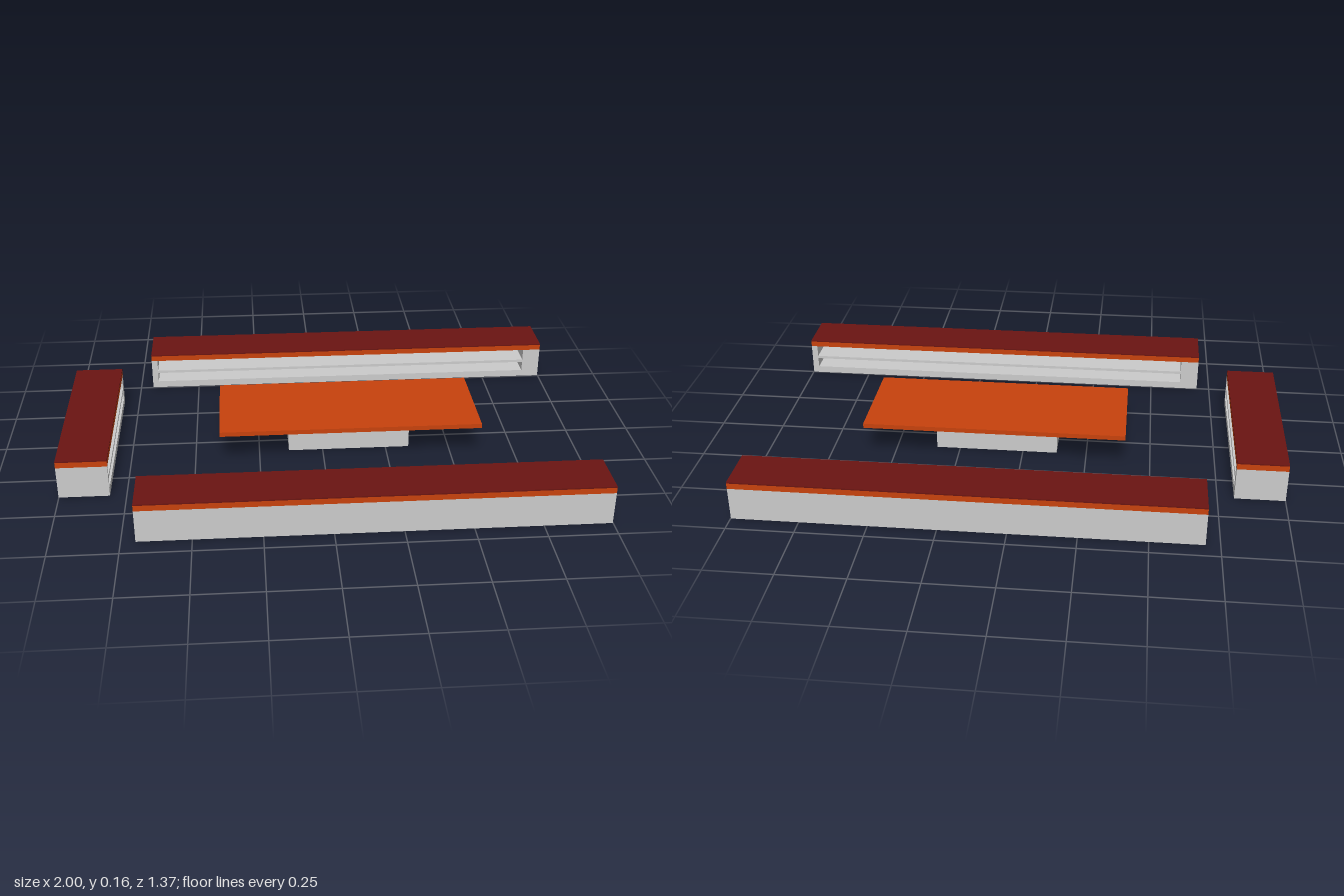
import * as THREE from 'three';

const grey = new THREE.MeshStandardMaterial({ color: 0xcccccc, flatShading: true });
const brown = new THREE.MeshStandardMaterial({ color: 0x777067 });
const orange = new THREE.MeshStandardMaterial({ color: 0xc8420d });
const darkRed = new THREE.MeshStandardMaterial({ color: 0x6b1512 });

// Box given by its lower and upper corners
function addBox(parent, name, material, [x0, y0, z0], [x1, y1, z1]) {
  const geometry = new THREE.BoxGeometry(x1 - x0, y1 - y0, z1 - z0);
  geometry.translate((x0 + x1) / 2, (y0 + y1) / 2, (z0 + z1) / 2);
  const mesh = new THREE.Mesh(geometry, material);
  mesh.name = name;
  parent.add(mesh);
}

// Bench with two open shelves facing +z, a thin left end and a thick right end
function createBench(name, length, depth) {
  const bench = new THREE.Group();
  bench.name = name;
  const x = length / 2, z = depth / 2;
  const thin = x - length * 0.0145, thick = x - length * 0.043;
  const back = -z + 0.012;
  addBox(bench, 'bottomPanel', grey, [-x, 0.002, -z], [x, 0.03, z]);
  addBox(bench, 'thinEndPanel', grey, [-x, 0.03, -z], [-thin, 0.128, z]);
  addBox(bench, 'thickEndPanel', grey, [thick, 0.03, -z], [x, 0.128, z]);
  addBox(bench, 'backPanel', grey, [-thin, 0.03, -z], [thick, 0.128, back]);
  addBox(bench, 'shelf', grey, [-thin, 0.07, back], [thick, 0.081, z]);
  // Dark lining at the back of each compartment
  for (const [y0, y1] of [[0.03, 0.07], [0.081, 0.128]]) {
    addBox(bench, 'compartmentLining', brown, [-thin, y0, back], [thick, y1, back + 0.003]);
  }
  addBox(bench, 'seatBoard', orange, [-x, 0.128, -z], [x, 0.15, z]);
  addBox(bench, 'seatCover', darkRed, [-x, 0.15, -z], [x, 0.155, z]);
  return bench;
}

// Table: block foot, flared support and flat top
function createTable() {
  const table = new THREE.Group();
  table.name = 'table';
  addBox(table, 'tableFoot', grey, [-0.238, 0, -0.095], [0.238, 0.083, 0.095]);

  const flare = new THREE.BoxGeometry(1.01, 0.047, 0.398);
  const p = flare.attributes.position;
  for (let i = 0; i < p.count; i++) {
    if (p.getY(i) < 0) {
      p.setX(i, Math.sign(p.getX(i)) * 0.238);
      p.setZ(i, Math.sign(p.getZ(i)) * 0.095);
    }
  }
  flare.translate(0, 0.1065, 0);
  flare.computeVertexNormals();
  const support = new THREE.Mesh(flare, grey);
  support.name = 'flaredSupport';
  table.add(support);

  addBox(table, 'tableTop', orange, [-0.506, 0.13, -0.199], [0.506, 0.148, 0.199]);
  return table;
}

export function createModel() {
  const model = new THREE.Group();
  model.name = 'tableWithBenches';

  // Three benches, each with its shelves turned towards the table
  const placements = [
    ['backBench', 1.695, 0.15, -0.594, 0],
    ['frontBench', 1.695, 0.15, 0.59, Math.PI],
    ['sideBench', 0.752, -0.906, 0, Math.PI / 2],
  ];
  for (const [name, length, x, z, turn] of placements) {
    const bench = createBench(name, length, 0.189);
    bench.position.set(x, 0, z);
    bench.rotation.y = turn;
    model.add(bench);
  }

  const table = createTable();
  table.position.set(0.104, 0, -0.011);
  model.add(table);
  return model;
}
